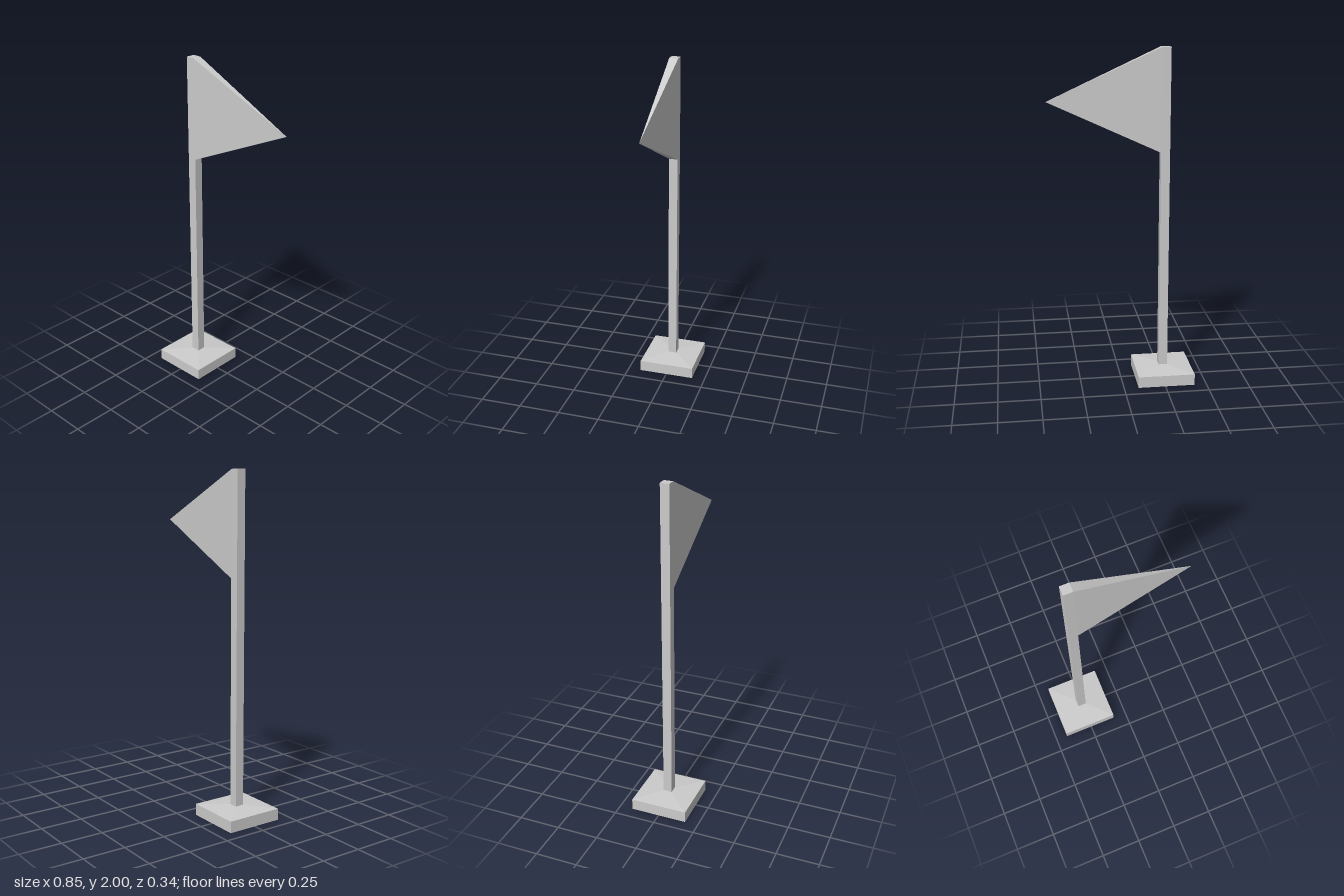
import * as THREE from 'three';

const POLE_X = -0.257, POLE_W = 0.053, BASE_W = 0.341;
const BASE_H = 0.068, BASE_TOP = 0.08, HEIGHT = 2;
const FLAG_H = 0.6, TIP_X = 0.427;

const material = new THREE.MeshStandardMaterial({ color: 0xcccccc, flatShading: true });

function addPart(group, name, geometry, x, y) {
  const mesh = new THREE.Mesh(geometry, material);
  mesh.name = name;
  mesh.position.set(x, y, 0);
  group.add(mesh);
}

export function createModel() {
  const group = new THREE.Group();
  group.name = 'pennantOnPole';

  // Square foot with a gently sloped top: a four-sided lathe, corners at 45 degrees
  const profile = [[0, 0], [BASE_W, 0], [BASE_W, BASE_H], [POLE_W, BASE_TOP]]
    .map(([w, y]) => new THREE.Vector2(w * Math.SQRT1_2, y));
  addPart(group, 'base', new THREE.LatheGeometry(profile, 4, Math.PI / 4), POLE_X, 0);

  // Square pole rising from the foot
  const poleH = HEIGHT - BASE_TOP;
  addPart(group, 'pole', new THREE.BoxGeometry(POLE_W, poleH, POLE_W), POLE_X, BASE_TOP + poleH / 2);

  // Pennant: a flat pyramid on its side, as thick as the pole and tapering to a point
  const flagX = POLE_X + POLE_W / 2;
  const flagL = TIP_X - flagX;
  const flag = new THREE.ConeGeometry(Math.SQRT1_2, flagL, 4, 1, true)
    .rotateY(Math.PI / 4)
    .rotateZ(-Math.PI / 2)
    .scale(1, FLAG_H, POLE_W);
  addPart(group, 'flag', flag, flagX + flagL / 2, HEIGHT - FLAG_H / 2);

  return group;
}
